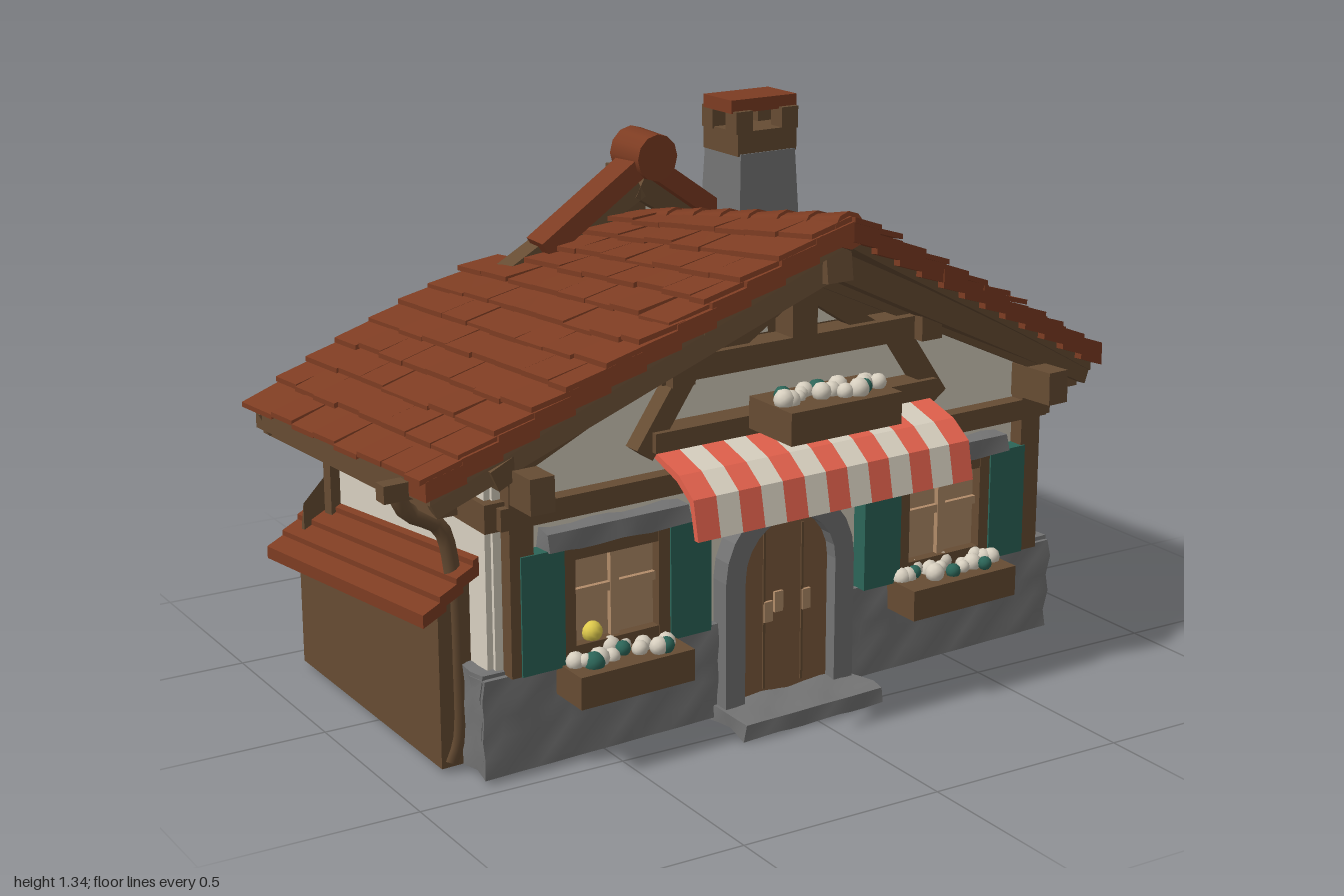
import * as THREE from 'three';
import { mergeGeometries } from 'three/addons/utils/BufferGeometryUtils.js';

const mat = (name, color, side = THREE.FrontSide) => {
  const m = new THREE.MeshStandardMaterial({ color, side });
  m.name = name;
  return m;
};
const M = {
  tile: mat('roof tile', 0x7d3c22), wood: mat('dark wood', 0x664c33, THREE.DoubleSide), stone: mat('stone', 0x737373),
  cream: mat('plaster', 0xd8d0c0), teal: mat('shutter teal', 0x2c6558), tan: mat('tan panel', 0xb28c69, THREE.DoubleSide),
  glow: mat('lit glass', 0xdfca4c), red: mat('awning red', 0xe2614c), dark: mat('dark interior', 0x2c1416),
  door: mat('door wood', 0x7d5b3d),
};
let seed = 7;
const rnd = () => (seed = (seed * 16807) % 2147483647) / 2147483647;
const lerp = THREE.MathUtils.lerp;

function add(parent, name, geo, material, x = 0, y = 0, z = 0) {
  const m = new THREE.Mesh(geo, material);
  m.name = name;
  m.position.set(x, y, z);
  parent.add(m);
  return m;
}
// box given by its limits
const span = (p, name, m, x0, x1, y0, y1, z0, z1) => add(p, name,
  new THREE.BoxGeometry(x1 - x0, y1 - y0, z1 - z0), m, (x0 + x1) / 2, (y0 + y1) / 2, (z0 + z1) / 2);
// bar from point a to point b
function beam(p, name, m, a, b, w, h = w) {
  const A = new THREE.Vector3(...a), B = new THREE.Vector3(...b);
  const o = add(p, name, new THREE.BoxGeometry(w, h, A.distanceTo(B)), m, ...A.clone().add(B).multiplyScalar(0.5));
  o.lookAt(B);
}
// uneven stone block
function rubble(p, name, x0, x1, y0, y1, z0, z1) {
  const n = d => Math.max(1, Math.round(d / 0.045));
  const g = new THREE.BoxGeometry(x1 - x0, y1 - y0, z1 - z0, n(x1 - x0), n(y1 - y0), n(z1 - z0));
  g.translate((x0 + x1) / 2, (y0 + y1) / 2, (z0 + z1) / 2);
  const a = g.attributes.position;
  for (let i = 0; i < a.count; i++) {
    const x = a.getX(i), y = a.getY(i), z = a.getZ(i);
    const k = 0.006 * Math.sin(x * 37 + y * 29) * Math.cos(z * 33 + y * 41);
    a.setXYZ(i, x + k, y + k * 0.8, z + k);
  }
  g.computeVertexNormals();
  add(p, name, g, M.stone);
}
function plate(p, name, m, pts, depth, z, x = 0, y = 0) {
  const s = new THREE.Shape(pts.map(q => new THREE.Vector2(...q)));
  add(p, name, new THREE.ExtrudeGeometry(s, { depth, bevelEnabled: false }), m, x, y, z);
}

// roof surface: t runs from ridge (0) to eave (1)
const NOTCH = 0.35, HALF = 0.95;
const roofY = (t, z) => lerp(1.1 + 0.16 * z, 0.69 + 0.07 * z, t) + 0.045 * Math.sin(Math.PI * t) * (0.7 - z);
const frontZ = t => 0.64 - 0.22 * t;
const backZ = t => (t < NOTCH ? -0.27 : lerp(-0.45, -0.55, (t - NOTCH) / (1 - NOTCH)));
function slab(s, t0, t1, f0, f1, low, thick, tilt, seg = 1) {
  const g = new THREE.BoxGeometry(1, 1, 1, seg, 1, seg), a = g.attributes.position, tm = (t0 + t1) / 2;
  for (let i = 0; i < a.count; i++) {
    const u = s > 0 ? a.getX(i) + 0.5 : 0.5 - a.getX(i);
    const t = lerp(t0, t1, u), f = lerp(f1, f0, a.getZ(i) + 0.5);
    const z = lerp(frontZ(t), tm < NOTCH ? -0.27 : backZ(Math.max(t, NOTCH)), f);
    a.setXYZ(i, s * t * HALF, roofY(t, z) + low + (a.getY(i) + 0.5) * thick + u * tilt, z);
  }
  g.computeVertexNormals();
  return g;
}
function buildRoof(house) {
  const tiles = [], boards = [];
  for (const s of [1, -1]) {
    boards.push(slab(s, 0, NOTCH, 0.01, 0.99, -0.05, 0.05, 0, 6), slab(s, NOTCH, 0.99, 0.01, 0.99, -0.05, 0.05, 0, 6));
    const rows = 12;
    for (let r = 0; r < rows; r++) {
      const t0 = r / rows, t1 = (r + 1) / rows, cols = (t0 + t1) / 2 < NOTCH ? 7 : 8;
      tiles.push(slab(s, t0, t1 + 0.01, -0.015, 0.07, -0.04, 0.045, 0.015));
      for (let c = 0; c < cols; c++) {
        const off = r % 2 ? 0.5 : 0;
        const f0 = Math.max(0, (c - off) / cols), f1 = c === cols - 1 ? 1 : (c + 1 - off) / cols;
        tiles.push(slab(s, Math.max(0, t0 - 0.01), t1 + 0.012 + rnd() * 0.012,
          c ? f0 : -0.02 * rnd(), f1, 0.001 + rnd() * 0.005, 0.012, 0.014 + rnd() * 0.008));
      }
    }
    // rafters and beams under the edges
    beam(house, 'front barge beam', M.wood, [0, 1.1, 0.56], [s * 0.93, 0.67, 0.38], 0.06, 0.06);
    beam(house, 'inner rafter', M.wood, [0, 1.07, 0.42], [s * 0.8, 0.71, 0.42], 0.05, 0.05);
    beam(house, 'back barge beam', M.wood, [0, 1.14, -0.29], [s * 0.36, 0.93, -0.32], 0.07, 0.07);
    beam(house, 'back eave rafter', M.wood, [s * 0.34, 0.88, -0.43], [s * 0.93, 0.62, -0.53], 0.06, 0.06);
    beam(house, 'eave beam', M.wood, [s * 0.89, 0.66, 0.39], [s * 0.89, 0.61, -0.56], 0.05, 0.05);
    beam(house, 'purlin', M.wood, [s * 0.73, 0.69, 0.53], [s * 0.7, 0.66, -0.6], 0.06, 0.08);
    beam(house, 'back crest tile', M.tile, [0, 1.2, -0.265], [s * 0.28, 1.01, -0.28], 0.09, 0.05);
  }
  add(house, 'roofTiles', mergeGeometries(tiles), M.tile);
  add(house, 'roofBoards', mergeGeometries(boards), M.wood);
  // rounded ridge tiles, with a raised one at the back
  for (let i = 0; i < 7; i++) {
    const z = 0.57 - i * 0.12;
    add(house, 'ridgeTile', new THREE.CylinderGeometry(0.034, 0.042, 0.14, 10), M.tile, 0, 1.085 + 0.16 * z, z)
      .rotation.x = -Math.PI / 2 - 0.16;
  }
  add(house, 'backRidgeTile', new THREE.CylinderGeometry(0.058, 0.062, 0.13, 12), M.tile, 0.02, 1.212, -0.27).rotation.x = Math.PI / 2;
  beam(house, 'ridgeBeam', M.wood, [0, 1.11, 0.6], [0, 0.98, -0.3], 0.07, 0.09);
  span(house, 'backKingPost', M.wood, -0.035, 0.035, 1.02, 1.18, -0.37, -0.29);
}

function flowerBox(p, w, y, d) {
  span(p, 'flowerBox', M.wood, -w / 2, w / 2, y - 0.075, y, 0, d);
  const n = Math.round(w / 0.02);
  for (let i = 0; i < n; i++) {
    const leaf = i % 5 === 2, r = 0.016 + rnd() * 0.01;
    add(p, leaf ? 'leaves' : 'flowers', new THREE.IcosahedronGeometry(r, 1), leaf ? M.teal : M.cream,
      (i / (n - 1) - 0.5) * (w - 0.05), y + 0.004 + rnd() * 0.012, d * (0.2 + 0.6 * rnd()));
  }
}
// window with frame, shutters, lintel and optional flower box, facing +z
function buildWindow(house, name, x, y0, z, turn, w, h, glass, shutter, box, depth = 0.1) {
  const g = new THREE.Group();
  g.name = name;
  g.position.set(x, y0, z);
  g.rotation.y = turn;
  house.add(g);
  const a = w / 2, b = 0.03;
  span(g, 'pane', glass, -a, a, 0, h, -0.05, 0.012);
  for (const s of [1, -1]) {
    span(g, 'frameSide', M.wood, s * a - b / 2, s * a + b / 2, 0, h, -0.05, 0.04);
    const i = s * (a + b / 2 + shutter / 2);
    span(g, 'shutter', M.teal, i - shutter / 2, i + shutter / 2, -0.01, h + 0.005, 0, 0.045);
    span(g, 'insideFrameSide', M.dark, s * a - 0.025, s * a + 0.025, -0.02, h + 0.02, -0.065, -0.05);
  }
  for (const y of [0, h - b]) span(g, 'frameBar', M.wood, -a, a, y, y + b, -0.05, 0.038);
  span(g, 'insideFrameTop', M.dark, -a, a, h - 0.02, h + 0.02, -0.065, -0.05);
  const bar = glass === M.tan ? M.tan : M.wood;
  span(g, 'mullion', bar, -0.011, 0.011, b, h - b, 0, 0.026);
  span(g, 'transom', bar, -a, a, h * 0.52, h * 0.52 + 0.02, 0, 0.024);
  rubble(g, 'lintel', -a - 0.06, a + 0.06, h, h + 0.045, -0.01, 0.05);
  if (box) flowerBox(g, box, -0.005, depth);
}
function arch(w, h, inset = 0) {
  const a = w / 2 - inset, top = h - w / 2, pts = [[-a, 0], [a, 0]];
  for (let i = 0; i <= 12; i++) pts.push([a * Math.cos(Math.PI * i / 12), top + a * Math.sin(Math.PI * i / 12)]);
  return pts;
}
// arched band of constant width
function archBand(p, name, m, w, h, inset, depth, z) {
  const s = new THREE.Shape(arch(w, h).map(q => new THREE.Vector2(...q)));
  s.holes.push(new THREE.Path(arch(w, h, inset).map(q => new THREE.Vector2(...q))));
  add(p, name, new THREE.ExtrudeGeometry(s, { depth, bevelEnabled: false }), m, -0.015, 0.04, z);
}

function buildWalls(house) {
  for (const [a, b] of [[-0.78, -0.15], [0.12, 0.78]]) {
    span(house, 'frontWall', M.cream, a, b, 0.2, 0.64, 0.35, 0.39);
    rubble(house, 'frontFooting', a < 0 ? -0.82 : 0.13, a < 0 ? -0.16 : 0.82, 0.02, 0.25, 0.35, 0.41);
  }
  span(house, 'wallOverDoor', M.cream, -0.15, 0.12, 0.45, 0.64, 0.35, 0.39);
  span(house, 'backWall', M.cream, -0.78, 0.78, 0.2, 0.66, -0.46, -0.42);
  rubble(house, 'backFooting', -0.82, -0.57, 0.02, 0.25, -0.49, -0.43);
  rubble(house, 'backFooting', -0.34, 0.82, 0.02, 0.25, -0.49, -0.43);
  for (const s of [1, -1]) {
    const x = s * 0.775;
    span(house, 'sideWall', M.cream, x - 0.02, x + 0.02, 0.2, 0.72, -0.45, 0.38);
    rubble(house, 'sideFooting', s > 0 ? 0.76 : -0.82, s > 0 ? 0.82 : -0.76, 0.02, 0.26, -0.47, 0.4);
    span(house, 'wallPlate', M.wood, x - 0.035, x + 0.035, 0.585, 0.65, -0.48, 0.41);
    span(house, 'rearPost', M.wood, s * 0.8 - 0.02, s * 0.8 + 0.02, 0.26, 0.66, -0.42, -0.38);
    span(house, 'frontPost', M.wood, s * 0.73 - 0.03, s * 0.73 + 0.03, 0.25, 0.74, 0.38, 0.43);
    // downpipe
    const path = new THREE.CatmullRomCurve3([[0.97, 0.69], [0.94, 0.63], [0.86, 0.58], [0.835, 0.5], [0.825, 0.25], [0.83, 0.08], [0.85, 0.03]]
      .map(([px, py]) => new THREE.Vector3(s * px, py, 0.29)));
    add(house, 'downpipe', new THREE.TubeGeometry(path, 24, 0.02, 8), M.wood);
    span(house, 'gutterEnd', M.wood, s * 0.965 - 0.035, s * 0.965 + 0.035, 0.66, 0.7, 0.27, 0.31);
  }
  span(house, 'innerLining', M.dark, -0.75, -0.74, 0.05, 0.66, -0.4, 0.34);
  span(house, 'innerFrontBeam', M.dark, -0.74, 0.74, 0.56, 0.64, 0.33, 0.35);
  archBand(house, 'insideDoorFrame', M.dark, 0.45, 0.54, 0.09, 0.02, 0.325);

  // front gable and timbers
  plate(house, 'frontGable', M.cream, [[-0.78, 0.62], [0.78, 0.62], [0.78, 0.73], [0, 1.08], [-0.78, 0.73]], 0.04, 0.35);
  plate(house, 'gableBoards', M.wood, [[-0.34, 0.9], [0.34, 0.9], [0, 1.07]], 0.015, 0.385);
  span(house, 'frontSill', M.wood, -0.78, 0.78, 0.59, 0.64, 0.37, 0.43);
  span(house, 'tieBeam', M.wood, -0.39, 0.39, 0.86, 0.915, 0.38, 0.47);
  span(house, 'awningBeam', M.wood, -0.4, 0.4, 0.705, 0.75, 0.38, 0.46);
  span(house, 'kingPost', M.wood, -0.035, 0.035, 0.9, 1.07, 0.4, 0.47);
  for (const s of [1, -1]) {
    plate(house, 'gablePatch', M.cream, [[s * 0.06, 0.92], [s * 0.15, 0.92], [s * 0.07, 0.98]], 0.006, 0.4);
    beam(house, 'gableBrace', M.wood, [s * 0.22, 0.89, 0.43], [s * 0.03, 1.01, 0.43], 0.04);
    beam(house, 'gableStrut', M.wood, [s * 0.42, 0.7, 0.42], [s * 0.3, 0.87, 0.42], 0.05);
    span(house, 'gableBlock', M.wood, s * 0.35 - 0.03, s * 0.35 + 0.03, 0.86, 0.94, 0.4, 0.5);
  }

  // back skirt, sloping out from the gable
  const skirtZ = y => lerp(-0.59, -0.32, (y - 0.64) / 0.3);
  const skirt = (name, m, rows, lift) => {
    const pos = [], idx = [];
    rows.forEach(([w, y], i) => {
      pos.push(w, y + lift, skirtZ(y) - lift, -w, y + lift, skirtZ(y) - lift);
      if (i) idx.push(2 * i - 2, 2 * i - 1, 2 * i + 1, 2 * i - 2, 2 * i + 1, 2 * i);
    });
    const g = new THREE.BufferGeometry();
    g.setAttribute('position', new THREE.Float32BufferAttribute(pos, 3));
    g.setIndex(idx);
    g.computeVertexNormals();
    add(house, name, g, m);
  };
  skirt('backSkirt', M.wood, [[0.74, 0.64], [0.36, 0.94]], 0);
  skirt('backSkirtPanel', M.tan, [[0.24, 0.71], [0.29, 0.73], [0.3, 0.83], [0.2, 0.915], [0.06, 0.93]], 0.006);
  span(house, 'backSkirtEdge', M.wood, -0.72, 0.72, 0.61, 0.645, -0.595, -0.555);
  plate(house, 'backGable', M.cream, [[-0.33, 0.87], [0.33, 0.87], [0.3, 0.95], [0, 1.13], [-0.3, 0.95]], 0.03, -0.33);
}

// lean-to shed on the right side, rising toward the front
function buildShed(house) {
  const lean = (name, m, x0, x1, z0, z1, low, inner, outer) => {
    const g = new THREE.BoxGeometry(1, 1, 1, 1, 1, 5), a = g.attributes.position;
    for (let i = 0; i < a.count; i++) {
      const u = a.getX(i) + 0.5, f = a.getZ(i) + 0.5;
      const top = lerp(outer, inner, u) + 0.1 * f;
      a.setXYZ(i, lerp(x0, x1, u), a.getY(i) > 0 ? top : (low < 0 ? top + low : low), lerp(z0, z1, f));
    }
    g.computeVertexNormals();
    add(house, name, g, m);
  };
  lean('shedSide', M.wood, -0.875, -0.85, -0.46, 0.3, 0.02, 0.34, 0.33);
  lean('shedBack', M.wood, -0.87, -0.77, -0.46, -0.435, 0.02, 0.43, 0.33);
  lean('shedFront', M.wood, -0.87, -0.77, 0.275, 0.3, 0.02, 0.43, 0.33);
  for (let i = 0; i < 5; i++) {
    const x = -0.935 + i * 0.042, y = 0.31 + i * 0.033;
    lean('shedTiles', M.tile, x, x + 0.058, -0.52, 0.35, -0.03, y + 0.028, y);
  }
}

export function createModel() {
  const house = new THREE.Group();
  house.name = 'cottage';
  buildWalls(house);
  buildRoof(house);
  buildShed(house);

  // chimney
  const stack = new THREE.CylinderGeometry(0.118, 0.14, 0.34, 4, 1, false, Math.PI / 4).toNonIndexed();
  stack.computeVertexNormals();
  add(house, 'chimneyStack', stack, M.stone, 0.305, 1.04, -0.215);
  span(house, 'chimneyCollar', M.wood, 0.215, 0.395, 1.205, 1.265, -0.295, -0.135);
  for (const x of [0.235, 0.375]) for (const z of [-0.27, -0.16])
    span(house, 'chimneyPier', M.wood, x - 0.025, x + 0.025, 1.26, 1.315, z - 0.025, z + 0.025);
  span(house, 'chimneyCap', M.tile, 0.205, 0.405, 1.31, 1.343, -0.28, -0.15);

  // front door with stone arch and step
  archBand(house, 'doorArch', M.stone, 0.37, 0.5, 0.055, 0.1, 0.345);
  plate(house, 'frontDoor', M.door, arch(0.37, 0.5, 0.05), 0.03, 0.38, -0.015, 0.04);
  for (const x of [-0.07, 0.04]) span(house, 'doorPlank', M.wood, x - 0.003, x + 0.003, 0.06, 0.45, 0.41, 0.414);
  for (const [x, y] of [[-0.06, 0.25], [-0.03, 0.27], [0.05, 0.26]])
    span(house, 'doorFitting', M.tan, x - 0.012, x + 0.012, y - 0.025, y + 0.025, 0.41, 0.418);
  rubble(house, 'frontStep', -0.21, 0.18, 0.012, 0.05, 0.38, 0.55);

  // back door and step
  span(house, 'backDoor', M.door, -0.55, -0.36, 0.05, 0.45, -0.48, -0.42);
  for (const x of [-0.57, -0.34]) rubble(house, 'backDoorJamb', x - 0.02, x + 0.02, 0.04, 0.47, -0.495, -0.44);
  rubble(house, 'backDoorLintel', -0.6, -0.31, 0.45, 0.5, -0.5, -0.44);
  span(house, 'backDoorHandle', M.tan, -0.53, -0.51, 0.23, 0.26, -0.495, -0.48);
  rubble(house, 'backStep', -0.62, -0.3, 0.03, 0.08, -0.61, -0.46);

  // windows
  buildWindow(house, 'frontWindowRight', -0.485, 0.26, 0.39, 0, 0.25, 0.26, M.tan, 0.11, 0.3, 0.13);
  buildWindow(house, 'frontWindowLeft', 0.46, 0.26, 0.39, 0, 0.25, 0.26, M.tan, 0.11, 0.32, 0.13);
  add(house, 'lamp', new THREE.SphereGeometry(0.025, 12, 8), M.glow, -0.54, 0.305, 0.405);
  buildWindow(house, 'sideWindow', 0.795, 0.28, -0.01, Math.PI / 2, 0.17, 0.19, M.glow, 0.09, 0.18, 0.09);
  for (const x of [0.43, 0.01]) buildWindow(house, 'backWindow', x, 0.26, -0.46, Math.PI, 0.16, 0.19, M.glow, 0.09, 0);

  // striped awning
  const profile = [[0.43, 0.7], [0.54, 0.67], [0.6, 0.63], [0.62, 0.54], [0.605, 0.54], [0.585, 0.62], [0.53, 0.655], [0.43, 0.685]]
    .map(p => new THREE.Vector2(...p));
  for (let i = 0; i < 13; i++) {
    const w = 0.78 / 13;
    const g = new THREE.ExtrudeGeometry(new THREE.Shape(profile), { depth: w, bevelEnabled: false }).rotateY(-Math.PI / 2);
    add(house, 'awningStripe', g, i % 2 ? M.cream : M.red, -0.39 + (i + 1) * w, 0.005, 0);
  }
  const upper = new THREE.Group();
  upper.name = 'upperPlanter';
  upper.position.set(0, 0.8, 0.47);
  house.add(upper);
  flowerBox(upper, 0.31, 0, 0.17);

  // the whole house stands slightly askew: bake the skew into the parts
  const skew = new THREE.Matrix4().set(1, 0, 0, 0, 0, 1, 0, 0, -0.06, 0, 1, 0, 0, 0, 0, 1);
  house.updateMatrixWorld(true);
  house.traverse(o => { if (o.isMesh) o.geometry.applyMatrix4(skew.clone().multiply(o.matrixWorld)); });
  house.traverse(o => { o.position.set(0, 0, 0); o.rotation.set(0, 0, 0); });
  return house;
}
